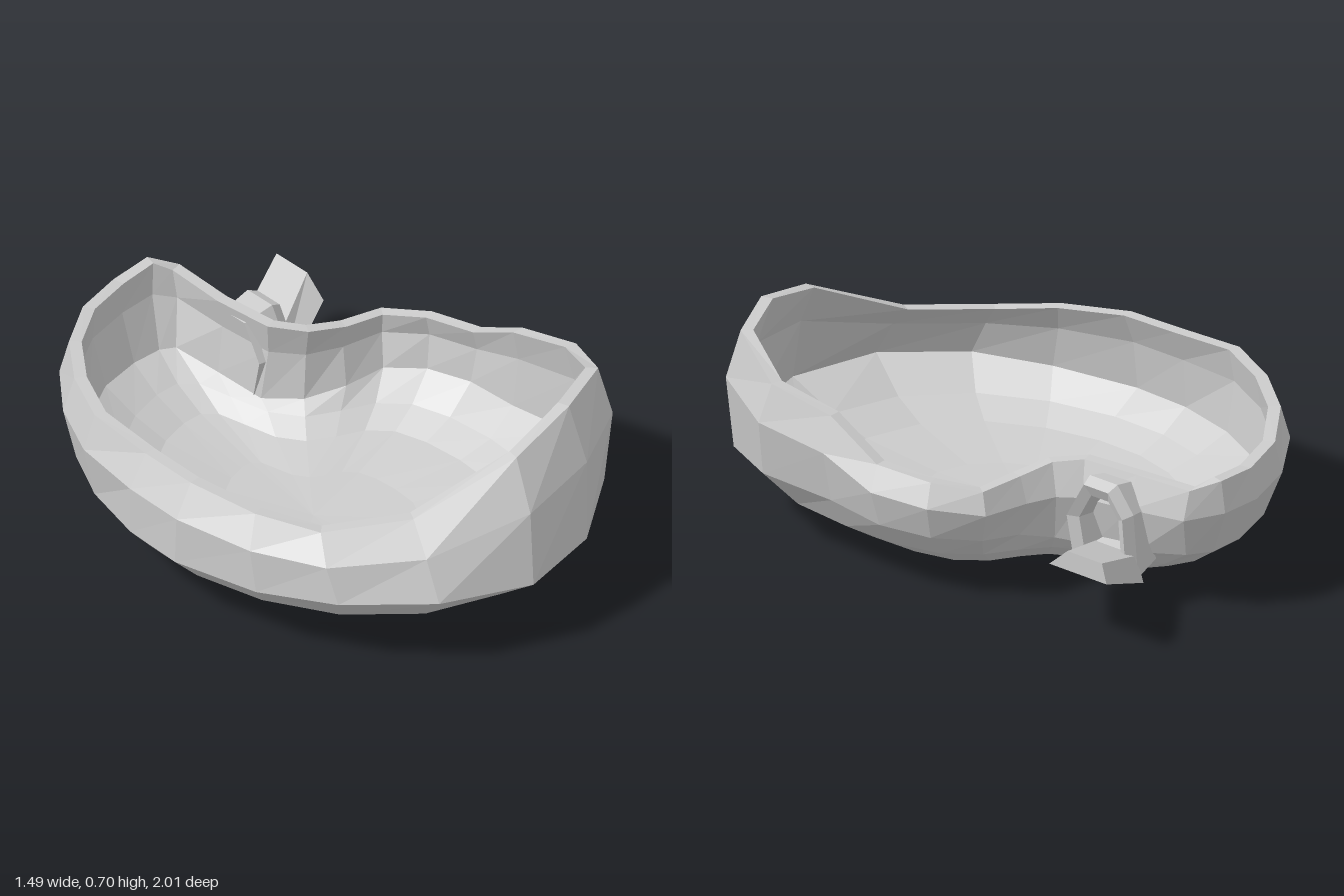
import * as THREE from 'three';

const material = new THREE.MeshStandardMaterial({ color: 0xcccccc, flatShading: true });

// Outline columns, counterclockwise from above: [rimX, rimZ, rimY, bellyX, bellyZ, bellyY]
const COLUMNS = [
  [0.09, 0.84, 0.64, 0.02, 1.00, 0.245],
  [0.36, 0.80, 0.70, 0.33, 0.92, 0.245],
  [0.59, 0.69, 0.69, 0.59, 0.72, 0.26],
  [0.71, 0.45, 0.61, 0.72, 0.48, 0.28],
  [0.69, 0.21, 0.56, 0.70, 0.20, 0.26],
  [0.70, 0.00, 0.45, 0.71, -0.02, 0.24],
  [0.66, -0.20, 0.43, 0.66, -0.20, 0.23],
  [0.57, -0.35, 0.41, 0.55, -0.33, 0.22],
  [0.41, -0.375, 0.42, 0.40, -0.36, 0.20],
  [0.29, -0.41, 0.44, 0.29, -0.42, 0.17],
  [0.22, -0.49, 0.45, 0.22, -0.52, 0.15],
  [0.20, -0.70, 0.45, 0.20, -0.70, 0.17],
  [0.20, -0.93, 0.46, 0.16, -0.88, 0.20],
  [0.12, -1.00, 0.49, 0.08, -0.93, 0.20],
  [-0.04, -0.99, 0.48, -0.05, -0.93, 0.20],
  [-0.23, -0.93, 0.49, -0.23, -0.88, 0.21],
  [-0.42, -0.79, 0.51, -0.42, -0.76, 0.22],
  [-0.56, -0.61, 0.52, -0.57, -0.59, 0.22],
  [-0.66, -0.40, 0.525, -0.67, -0.39, 0.22],
  [-0.67, -0.14, 0.51, -0.73, -0.15, 0.22],
  [-0.67, 0.08, 0.505, -0.74, 0.08, 0.22],
  [-0.61, 0.33, 0.48, -0.67, 0.40, 0.23],
  [-0.50, 0.53, 0.455, -0.54, 0.66, 0.25],
  [-0.25, 0.71, 0.485, -0.30, 0.89, 0.26],
];

// Closed skin through rings of equal point count; an end ring may be a single point
function loft(rings, pointStart = false, pointEnd = false) {
  const n = rings[0].length, index = [];
  for (let r = 0; r < rings.length - 1; r++) {
    for (let c = 0; c < n; c++) {
      const a = r * n + c, b = r * n + (c + 1) % n;
      if (!(pointStart && r === 0)) index.push(a, b, b + n);
      if (!(pointEnd && r === rings.length - 2)) index.push(a, b + n, a + n);
    }
  }
  const g = new THREE.BufferGeometry();
  g.setAttribute('position', new THREE.Float32BufferAttribute(rings.flat(2), 3));
  g.setIndex(index);
  const flat = g.toNonIndexed();
  flat.computeVertexNormals();
  return flat;
}

function addMesh(group, name, geometry) {
  const mesh = new THREE.Mesh(geometry, material);
  mesh.name = name;
  group.add(mesh);
}

// Move a ring sideways along its own outline normal
function offset(ring, d) {
  const n = ring.length;
  return ring.map(([x, y, z], i) => {
    const p = ring[(i + n - 1) % n], q = ring[(i + 1) % n];
    const tx = q[0] - p[0], tz = q[2] - p[2], l = Math.hypot(tx, tz);
    return [x - tz / l * d, y, z + tx / l * d];
  });
}

// Soften the notch towards the bottom
function smooth(ring) {
  const n = ring.length;
  return ring.map((v, i) => v.map((k, j) =>
    0.5 * k + 0.25 * (ring[(i + n - 1) % n][j] + ring[(i + 1) % n][j])));
}

// Scale a ring towards the middle of the floor at height y
function shrink(ring, s, y) {
  return ring.map((v) => [-0.05 + (v[0] + 0.05) * s, y + (v[1] - 0.23) * s * s * 0.4, v[2] * s]);
}

function shellGeometry() {
  const rim = COLUMNS.map(([x, z, y]) => [x, y, z]);
  const belly = COLUMNS.map((c) => [c[3], c[5], c[4]]);
  const middle = rim.map((v, i) => v.map((k, j) => k * 0.6 + belly[i][j] * 0.4));
  const low = smooth(belly);
  const innerBelly = offset(belly, -0.045);
  const innerLow = smooth(innerBelly);
  const point = (y) => COLUMNS.map(() => [-0.05, y, 0]);
  return loft([
    // outside, from the bottom up
    point(0), shrink(low, 0.3, 0.008), shrink(low, 0.6, 0.035),
    shrink(low, 0.76, 0.07), shrink(low, 0.9, 0.135),
    belly, offset(middle, 0.04), rim,
    // inside, from the rim down
    offset(rim, -0.042), offset(middle, -0.02), innerBelly,
    shrink(innerLow, 0.87, 0.15), shrink(innerLow, 0.72, 0.1),
    shrink(innerLow, 0.4, 0.06), point(0.045),
  ], true, true);
}

// Hollow six-sided collar standing out of the notch wall
function collarGeometry() {
  const outline = [[-0.78, 0.13], [-0.76, 0.35], [-0.69, 0.44], [-0.57, 0.44], [-0.485, 0.29], [-0.52, 0.12]];
  const ring = (x, s) => outline.map(([z, y]) => [x, 0.28 + (y - 0.28) * s, -0.63 + (z + 0.63) * s]);
  return loft([ring(0.17, 0.85), ring(0.285, 1), ring(0.325, 0.88), ring(0.305, 0.62), ring(0.19, 0.5)]);
}

// Flat duct rising away from the collar, narrower on top
function ductGeometry() {
  const g = new THREE.BoxGeometry(1, 1, 1);
  const p = g.attributes.position;
  for (let i = 0; i < p.count; i++) {
    const far = p.getX(i) > 0, top = p.getY(i) > 0, front = p.getZ(i) > 0;
    const z = far
      ? (front ? (top ? -0.75 : -0.67) : (top ? -0.90 : -0.92))
      : (front ? (top ? -0.58 : -0.53) : (top ? -0.76 : -0.79));
    p.setXYZ(i, far ? 0.605 : 0.27, far ? (top ? 0.33 : 0.26) : (top ? 0.2 : 0.11), z);
  }
  g.computeVertexNormals();
  return g;
}

export function createModel() {
  const model = new THREE.Group();
  model.name = 'kidneyBowl';
  addMesh(model, 'bowlShell', shellGeometry());
  addMesh(model, 'notchCollar', collarGeometry());
  addMesh(model, 'duct', ductGeometry());
  return model;
}
